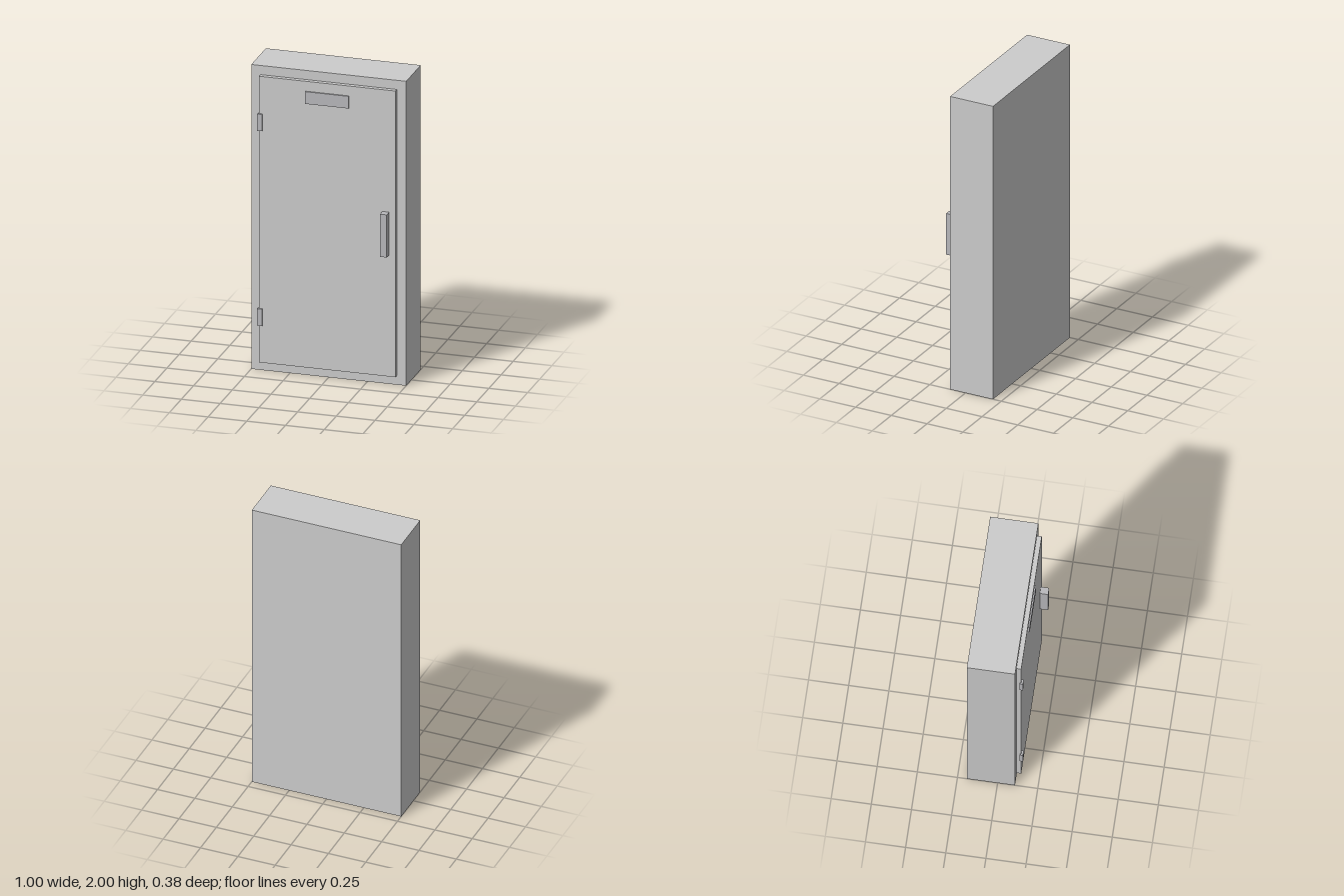
import * as THREE from 'three';

export function createModel() {
  const group = new THREE.Group();
  const panelMaterial = new THREE.MeshStandardMaterial({ color: 0xcccccc });
  const fittingMaterial = new THREE.MeshStandardMaterial({ color: 0xb8b8bc });

  // Box given by its minimum and maximum along each axis
  function addBox(name, [x0, x1], [y0, y1], [z0, z1], material) {
    const mesh = new THREE.Mesh(new THREE.BoxGeometry(x1 - x0, y1 - y0, z1 - z0), material);
    mesh.position.set((x0 + x1) / 2, (y0 + y1) / 2, (z0 + z1) / 2);
    mesh.name = name;
    group.add(mesh);
  }

  const bodyFront = 0.108;
  const doorFront = 0.138;

  // Cabinet body and raised door
  addBox('cabinetBody', [-0.5, 0.5], [0, 2], [-0.192, bodyFront], panelMaterial);
  addBox('door', [-0.44, 0.44], [0.06, 1.94], [bodyFront, doorFront], panelMaterial);

  // Handle and blank label plate
  addBox('handle', [0.356, 0.4], [0.86, 1.14], [doorFront, 0.19], fittingMaterial);
  addBox('labelPlate', [-0.14, 0.14], [1.795, 1.875], [doorFront, 0.147], fittingMaterial);

  // Hinges wrapping the left edge of the door as seen from the front
  [['lowerHinge', 0.36], ['upperHinge', 1.64]].forEach(([name, y]) =>
    addBox(name, [-0.449, -0.417], [y - 0.055, y + 0.055], [0.13, 0.15], fittingMaterial));

  return group;
}
